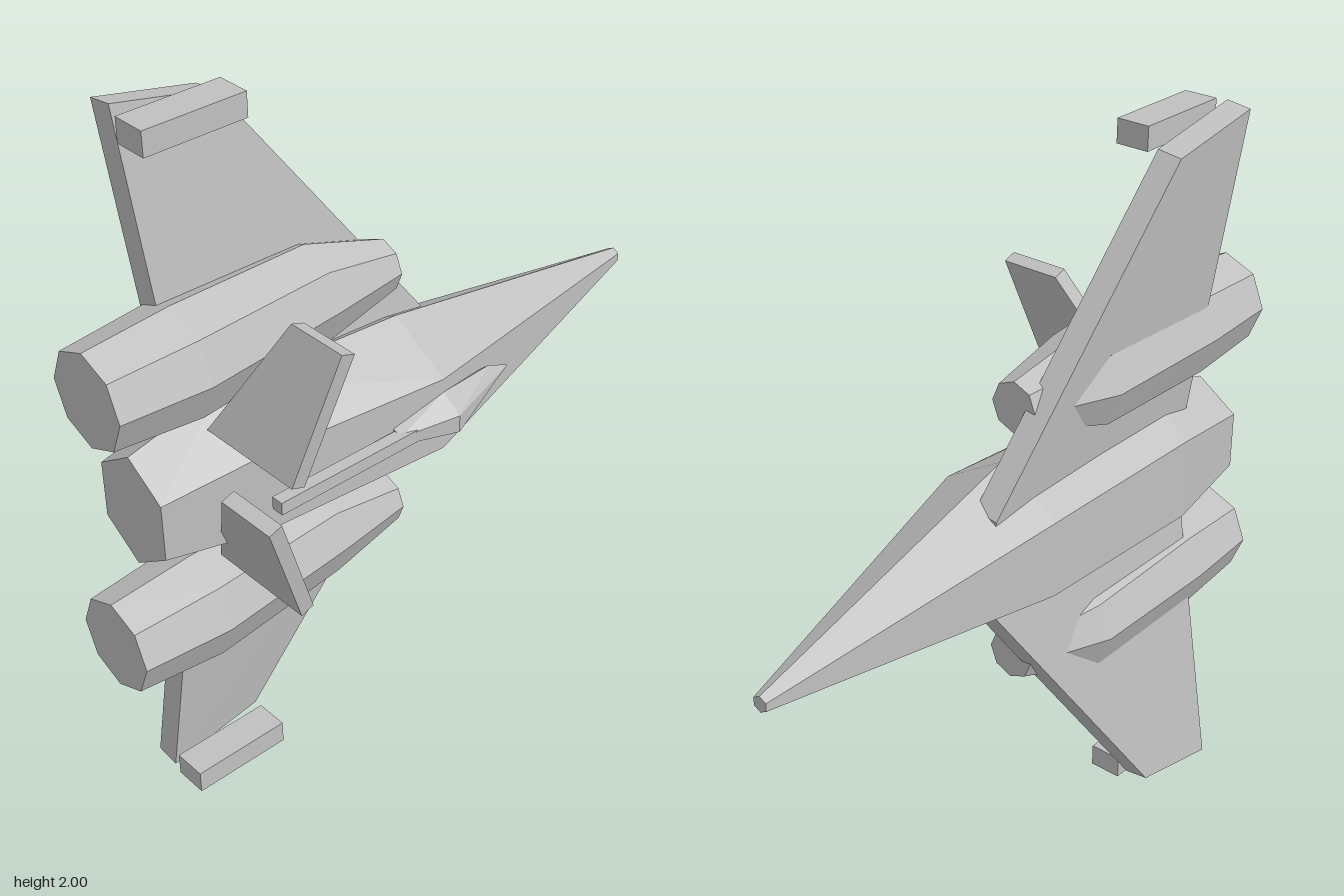
import * as THREE from 'three';
import { ConvexGeometry } from 'three/addons/geometries/ConvexGeometry.js';

const hullGrey = new THREE.MeshStandardMaterial({ color: 0xc0c0c0 });
const MID = 1; // height of the ship's axis
const v = (x, y, z) => new THREE.Vector3(x, y, z);

// Faceted solid wrapped around corner points
function solid(name, points) {
  const mesh = new THREE.Mesh(new ConvexGeometry(points), hullGrey);
  mesh.name = name;
  return mesh;
}

// Ring corners for sections [x, y centre, z centre, y radius, z radius]
function rings(sections, sides, squash = 1) {
  const points = [];
  for (const [x, y, z, ry, rz] of sections) {
    for (let i = 0; i < sides; i++) {
      const a = (i / sides) * Math.PI * 2;
      points.push(v(x, y + Math.cos(a) * ry, z + Math.sin(a) * rz * squash));
    }
  }
  return points;
}

// Flat plate: outline corners pushed both ways along an offset
function plate(name, outline, offset) {
  const half = offset.clone().multiplyScalar(0.5);
  return solid(name, outline.flatMap((p) => [p.clone().add(half), p.clone().sub(half)]));
}

export function createModel() {
  const model = new THREE.Group();
  model.name = 'starfighter';

  // Six-sided fuselage with a long nose
  model.add(solid('fuselage', rings([
    [-0.82, MID, -0.12, 0.16, 0.12],
    [-0.55, MID, -0.115, 0.23, 0.157],
    [0, MID, -0.09, 0.215, 0.18],
    [0.91, MID, -0.16, 0.022, 0.02],
  ], 6, 1 / Math.sin(Math.PI / 3))));

  // Canopy and the rail behind it
  const canopy = [v(0.28, MID, 0.04)];
  for (const s of [-1, 1]) {
    canopy.push(
      v(0.2, MID + s * 0.04, 0.05),
      v(0, MID + s * 0.068, 0.09), v(0, MID + s * 0.025, 0.15),
      v(0, MID + s * 0.04, 0.04),
      v(-0.16, MID + s * 0.025, 0.07), v(-0.16, MID + s * 0.012, 0.105),
    );
  }
  model.add(solid('canopy', canopy));
  const rail = new THREE.Mesh(new THREE.BoxGeometry(0.5, 0.036, 0.036), hullGrey);
  rail.name = 'spineRail';
  rail.position.set(-0.305, MID, 0.098);
  model.add(rail);

  for (const s of [-1, 1]) {
    const side = s > 0 ? 'upper' : 'lower';
    const at = (x, h, z) => v(x, MID + s * h, z);

    // Swept wing, leaning back towards the tip
    model.add(plate(side + 'Wing', [
      at(-0.71, 0.995, -0.255), at(-0.43, 0.94, -0.25),
      at(0.14, 0.145, -0.16), at(0.14, 0.1, -0.155), at(-0.645, 0.1, -0.155),
    ], v(0, s * 0.009, 0.07)));

    // Wing tip pod
    const pod = new THREE.Mesh(new THREE.BoxGeometry(0.285, 0.065, 0.095), hullGrey);
    pod.name = side + 'TipPod';
    pod.position.copy(at(-0.582, 0.958, -0.13));
    model.add(pod);

    // Eight-sided engine
    const y = MID + s * 0.367;
    model.add(solid(side + 'Engine', rings([
      [-0.915, y, -0.115, 0.13, 0.13],
      [-0.67, y, -0.115, 0.15, 0.15],
      [-0.25, y, -0.14, 0.135, 0.13],
      [-0.02, y, -0.112, 0.071, 0.069],
    ], 8)));
  }

  // Two tail fins: [name, root x, root y, tip x, tip y, thickness slant]
  for (const [name, rx, ry, tx, ty, slant] of [
    ['upperFin', -0.612, 1.172, -0.49, 1.505, -0.013],
    ['lowerFin', -0.6, 0.797, -0.717, 1.13, 0.013],
  ]) {
    model.add(plate(name, [
      v(rx, ry, -0.06), v(rx, ry, 0.255), v(tx, ty, 0.3), v(tx, ty, 0.125),
    ], v(0.037, slant, 0)));
  }

  return model;
}
